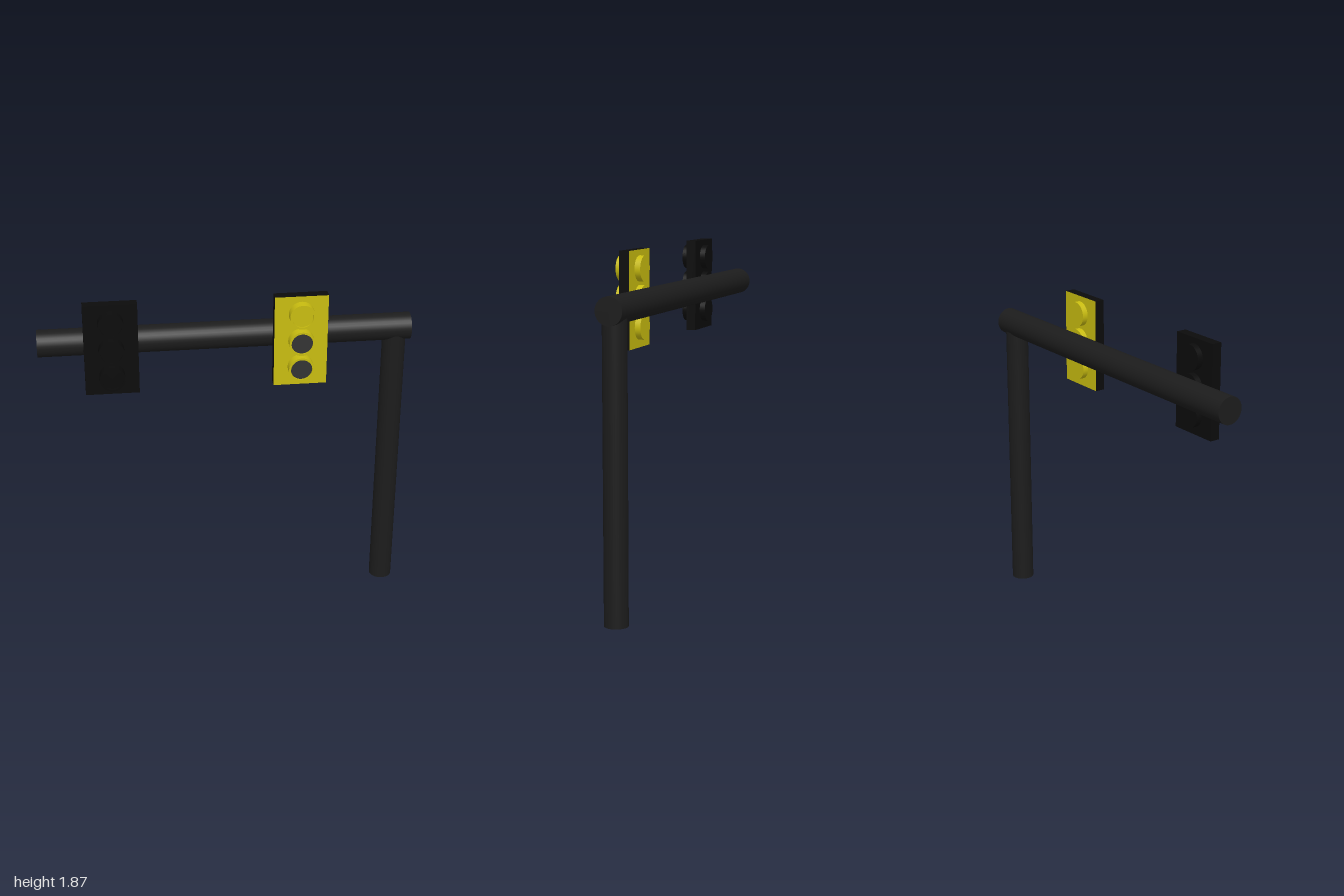
import * as THREE from 'three';

const mat = (color) => new THREE.MeshStandardMaterial({ color });

function add(parent, name, geometry, material, x = 0, y = 0, z = 0) {
  const mesh = new THREE.Mesh(geometry, material);
  mesh.name = name;
  mesh.position.set(x, y, z);
  parent.add(mesh);
  return mesh;
}

// One lamp: a drum through the panel, a raised rim and a recessed lens
function createLamp(housing, lens) {
  const R = 0.068, r = 0.057, back = -0.006, seat = 0.122, front = 0.132;
  const lamp = new THREE.Group();
  lamp.name = 'lamp';
  const drum = new THREE.CylinderGeometry(R, R, seat - back, 32).rotateX(Math.PI / 2);
  add(lamp, 'lampDrum', drum, housing, 0, 0, (seat + back) / 2);
  const ring = new THREE.Shape().absarc(0, 0, R, 0, Math.PI * 2);
  ring.holes.push(new THREE.Path().absarc(0, 0, r, 0, Math.PI * 2, true));
  const rim = new THREE.ExtrudeGeometry(ring, { depth: front - seat, bevelEnabled: false, curveSegments: 32 });
  add(lamp, 'lampRim', rim, housing, 0, 0, seat);
  add(lamp, 'lens', new THREE.CircleGeometry(r, 32), lens, 0, 0, seat + 0.002);
  return lamp;
}

// Signal head: flat panel with coloured front and back faces, and three lamps
function createSignal(name, edge, face, lenses) {
  const signal = new THREE.Group();
  signal.name = name;
  add(signal, 'panel', new THREE.BoxGeometry(0.285, 0.512, 0.055),
    [edge, edge, edge, edge, face, face], 0, 1.61, 0.053);
  [1.768, 1.614, 1.463].forEach((y, i) => {
    const lamp = createLamp(face, lenses[i]);
    lamp.position.y = y;
    signal.add(lamp);
  });
  return signal;
}

export function createModel() {
  const model = new THREE.Group();
  model.name = 'trafficSignalGantry';
  const steel = mat(0x1c1c1c), black = mat(0x0b0b0b), yellow = mat(0xc8bc10), dark = mat(0x333333);

  // Post and horizontal arm
  add(model, 'post', new THREE.CylinderGeometry(0.063, 0.063, 1.58, 32), steel, 0.918, 0.79, -0.056);
  add(model, 'arm', new THREE.CylinderGeometry(0.073, 0.073, 2, 32).rotateZ(Math.PI / 2), steel, 0, 1.603, -0.058);

  // Signal heads
  const lit = createSignal('yellowSignal', black, yellow, [yellow, dark, dark]);
  lit.position.x = 0.387;
  const unlit = createSignal('blackSignal', black, black, [black, black, black]);
  unlit.position.x = -0.614;
  model.add(lit, unlit);
  return model;
}
